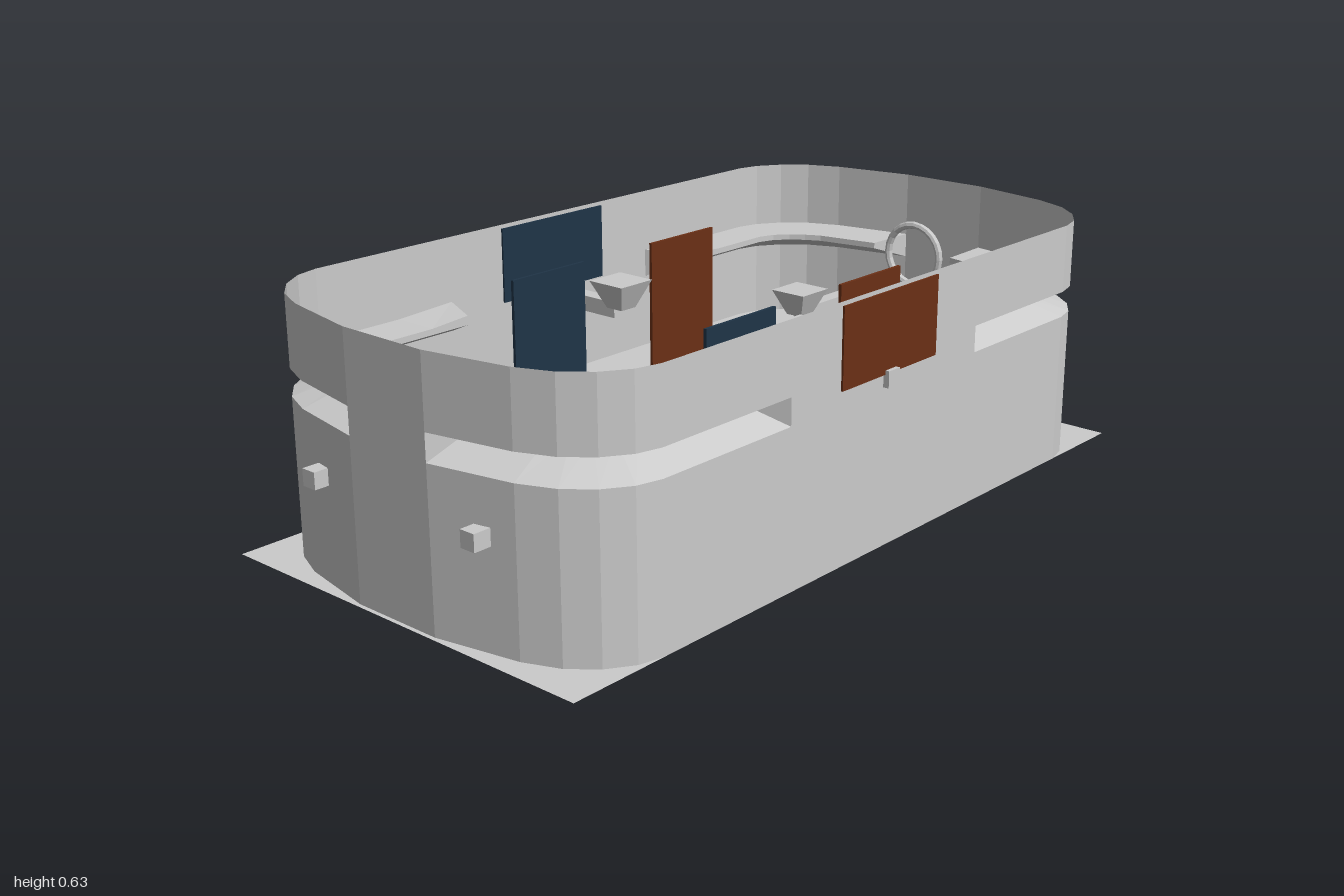
import * as THREE from 'three';

const grey = new THREE.MeshStandardMaterial({ color: 0xcccccc, flatShading: true, side: THREE.DoubleSide });
const orange = new THREE.MeshStandardMaterial({ color: 0x6b3016 });
const blue = new THREE.MeshStandardMaterial({ color: 0x1f3447 });

const FLOOR = 0.015, DECK = 0.2, SLOT_LOW = 0.395, SLOT_HIGH = 0.46, TOP = 0.63;

// One quarter of the wall outline [x, z], from the slot's side end to its front end
const outer = [[0.53, 0.345], [0.53, 0.51], [0.53, 0.74], [0.515, 0.8], [0.475, 0.86], [0.415, 0.91], [0.33, 0.945], [0.12, 0.985]];
// Matching inner edge of the recessed slot
const inner = [[0.41, 0.4], [0.41, 0.51], [0.41, 0.685], [0.395, 0.73], [0.365, 0.765], [0.33, 0.79], [0.29, 0.81], [0.125, 0.84]];
// One quarter of the sunken floor
const pit = [[0.3, 0.72], [0.23, 0.73], [0.12, 0.765], [0.12, 0.64]];

// Repeats a quarter outline around all four corners
function fullLoop(q) {
  const rev = [...q].reverse();
  return [
    ...q,
    ...rev.map(([x, z]) => [-x, z]),
    ...q.map(([x, z]) => [-x, -z]),
    ...rev.map(([x, z]) => [x, -z]),
  ];
}

// Surface through a row of equally long cross-sections
function loft(sections) {
  const n = sections[0].length, index = [];
  for (let i = 0; i < sections.length - 1; i++) {
    for (let j = 0; j < n - 1; j++) {
      const a = i * n + j, b = a + n;
      index.push(a, b, a + 1, b, b + 1, a + 1);
    }
  }
  const g = new THREE.BufferGeometry();
  g.setAttribute('position', new THREE.Float32BufferAttribute(sections.flat(2), 3));
  g.setIndex(index);
  g.computeVertexNormals();
  return g;
}

function wallStrip(points, y0, y1) {
  return loft(points.map(([x, z]) => [[x, y0, z], [x, y1, z]]));
}

export function createModel() {
  const model = new THREE.Group();
  const add = (name, geometry, material = grey, x = 0, y = 0, z = 0, parent = model) => {
    const m = new THREE.Mesh(geometry, material);
    m.name = name;
    m.position.set(x, y, z);
    parent.add(m);
    return m;
  };
  const box = (name, w, h, d, x, y, z, material = grey, parent = model) =>
    add(name, new THREE.BoxGeometry(w, h, d), material, x, y, z, parent);

  // Ground sheet
  const ground = new THREE.PlaneGeometry(1.06, 1.99);
  ground.rotateX(-Math.PI / 2);
  add('floor', ground, grey, 0, FLOOR, 0);

  // Outer wall, split by the corner slots
  const loop = fullLoop(outer);
  loop.push(loop[0]);
  add('lowerWall', wallStrip(loop, FLOOR, SLOT_LOW));
  add('upperWall', wallStrip(loop, SLOT_HIGH, TOP));
  for (const s of [-1, 1]) {
    add('sideWallBand', wallStrip([[s * 0.53, -0.345], [s * 0.53, 0.345]], SLOT_LOW, SLOT_HIGH));
    add('endWallBand', wallStrip([[-0.12, s * 0.985], [0.12, s * 0.985]], SLOT_LOW, SLOT_HIGH));
  }

  // Recessed corner slots, which form ledges on the inside
  for (const sx of [-1, 1]) for (const sz of [-1, 1]) {
    const sections = outer.map(([ox, oz], i) => {
      const [ix, iz] = inner[i];
      const roof = i === 0 ? SLOT_HIGH + 0.008 : SLOT_HIGH;
      return [[ox, SLOT_LOW, oz], [ix, 0.445, iz], [ix, roof, iz], [ox, roof, oz]]
        .map(([x, y, z]) => [x * sx, y, z * sz]);
    });
    add('cornerLedge', loft(sections));
    for (const [a, b, c, d] of [sections[0], sections[sections.length - 1]]) {
      add('ledgeEnd', loft([[a, b], [d, c]]));
    }
  }

  // Raised deck around the sunken floor
  const toVec = ([x, z]) => new THREE.Vector2(x, z);
  const deckShape = new THREE.Shape(fullLoop(outer).map(toVec));
  deckShape.holes.push(new THREE.Path(fullLoop(pit).map(toVec)));
  const deck = new THREE.ExtrudeGeometry(deckShape, { depth: DECK - FLOOR - 0.002, bevelEnabled: false });
  deck.rotateX(-Math.PI / 2);
  deck.translate(0, FLOOR + 0.002, 0);
  add('deck', deck);

  // Thin arched bridge across the middle
  const arch = [[-0.3, DECK], [-0.12, 0.27], [0.12, 0.27], [0.3, DECK]];
  const bridgeShape = new THREE.Shape(
    [...arch, ...[...arch].reverse().map(([x, y]) => [x, y - 0.015])].map(toVec));
  const bridge = new THREE.ExtrudeGeometry(bridgeShape, { depth: 0.24, bevelEnabled: false });
  bridge.translate(0, 0, -0.12);
  add('bridge', bridge);

  // Flared square head that sits on a rod
  const headGeometry = new THREE.CylinderGeometry(0.055 * Math.SQRT2, 0.025 * Math.SQRT2, 0.07, 4);
  headGeometry.rotateY(Math.PI / 4);
  const head = (x, y, z) => add('flaredHead', headGeometry, grey, x, y, z);

  for (const sx of [-1, 1]) {
    // Side rods through the wall
    box('sideRod', 0.25, 0.04, 0.04, sx * 0.42, 0.42, 0);
    head(sx * 0.29, 0.46, 0);

    for (const sz of [-1, 1]) {
      // End rods through the wall
      box('endRod', 0.04, 0.04, 0.33, sx * 0.25, 0.27, sz * 0.835);
      head(sx * 0.25, 0.305, sz * 0.67);

      // Floor rods
      box('floorRod', 0.04, 0.06, 0.04, sx * 0.125, 0.03, sz * 0.375);
      head(sx * 0.125, 0.085, sz * 0.375);

      // Coloured inner gate panels
      box('gatePanel', 0.008, 0.565, 0.235, sx * 0.3, 0.2825, sz * 0.2375, sz > 0 ? blue : orange);
    }

    // Coloured panels high on the side walls
    box('wallPanel', 0.01, 0.19, 0.35, sx * 0.53, 0.525, 0, sx > 0 ? orange : blue);
  }

  // Upright hoops at both ends
  for (const sz of [-1, 1]) {
    add('hoop', new THREE.TorusGeometry(0.083, 0.01, 8, 24), grey, 0, 0.445, sz * 0.85);
  }

  return model;
}
